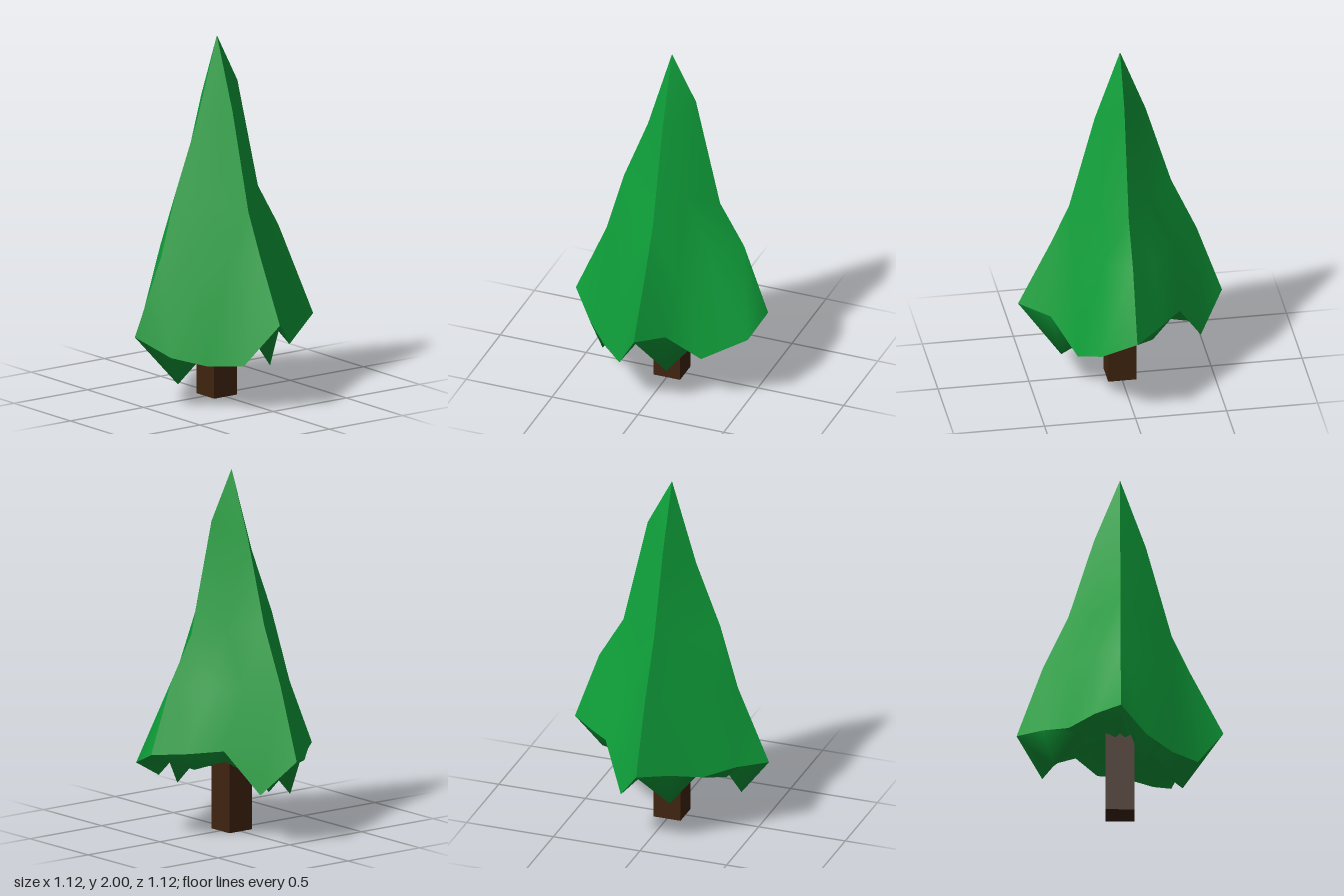
import * as THREE from 'three';

const STEP = 0.14;
const AXES = [[1, 0], [0, 1], [-1, 0], [0, -1]]; // +x, +z, -x, -z

// Ridge points below the tip as [radius, height], one list per axis
const RIDGES = [
  [[0.14, 1.73], [0.28, 1.12], [0.42, 0.88]],
  [[0.14, 1.6], [0.28, 1.07], [0.38, 0.85]],
  [[0.14, 1.53], [0.28, 1.17], [0.38, 0.82]],
  [[0.14, 1.64], [0.28, 1.18], [0.42, 0.87]],
];

// Heights inside each face: one point in row 2, two in row 3
const INNER = [
  [1.2, 0.86, 0.74],
  [1.12, 0.78, 0.8],
  [1.14, 0.84, 0.82],
  [1.14, 0.84, 0.83],
];

// Ragged lower rim, four points per face
const RIM = [
  [0.56, 0.49, 0], [0.515, 0.41, 0.185], [0.28, 0.29, 0.28], [0.12, 0.46, 0.4],
  [0, 0.49, 0.56], [-0.14, 0.255, 0.42], [-0.28, 0.25, 0.28], [-0.42, 0.29, 0.14],
  [-0.56, 0.4, 0], [-0.42, 0.41, -0.14], [-0.28, 0.39, -0.28], [-0.14, 0.44, -0.42],
  [0, 0.47, -0.56], [0.14, 0.28, -0.42], [0.28, 0.52, -0.28], [0.42, 0.5, -0.14],
];

// Heights of the hanging tips just inside the rim
const TIPS = [0.46, 0.42, 0.36, 0.21, 0.46, 0.36, 0.33, 0.13,
  0.42, 0.33, 0.38, 0.24, 0.44, 0.36, 0.45, 0.4];

function meshFrom(points, index, material, name) {
  const g = new THREE.BufferGeometry();
  g.setAttribute('position', new THREE.Float32BufferAttribute(points.flat(), 3));
  g.setIndex(index);
  g.computeVertexNormals();
  const mesh = new THREE.Mesh(g, material);
  mesh.name = name;
  return mesh;
}

// One triangular face, a grid of five rows from the tip to the rim
function foliageFace(q, material) {
  const a = AXES[q], b = AXES[(q + 1) % 4];
  const points = [], index = [];
  const id = (r, j) => r * (r + 1) / 2 + j;
  for (let r = 0; r <= 4; r++) {
    for (let j = 0; j <= r; j++) {
      if (r === 0) points.push([0, 2, 0]);
      else if (r === 4) points.push(RIM[(q * 4 + j) % 16]);
      else if (j === 0 || j === r) {
        const [d, y] = RIDGES[(q + (j ? 1 : 0)) % 4][r - 1];
        const dir = j ? b : a;
        points.push([dir[0] * d, y, dir[1] * d]);
      } else {
        const u = (r - j) * STEP, v = j * STEP;
        points.push([a[0] * u + b[0] * v, INNER[q][r === 2 ? 0 : j], a[1] * u + b[1] * v]);
      }
      if (r < 4) index.push(id(r, j), id(r + 1, j + 1), id(r + 1, j));
      if (r < 4 && j < r) index.push(id(r, j), id(r, j + 1), id(r + 1, j + 1));
    }
  }
  return meshFrom(points, index, material, 'foliageFace');
}

// Underside: rim, hanging tips, an inner ring and the middle
function underside(material) {
  const points = [...RIM], index = [];
  RIM.forEach(([x, , z], i) => points.push([x * 0.85, TIPS[i], z * 0.85]));
  RIM.forEach(([x, , z], i) => points.push([x * 0.45, i % 2 ? 0.4 : 0.46, z * 0.45]));
  points.push([0, 0.45, 0]);
  for (let i = 0; i < 16; i++) {
    const n = (i + 1) % 16;
    for (const o of [0, 16]) {
      index.push(o + i, o + n, o + 16 + i, o + n, o + 16 + n, o + 16 + i);
    }
    index.push(48, 32 + i, 32 + n);
  }
  const mesh = meshFrom(points, index, material, 'foliageUnderside');
  return mesh;
}

export function createModel() {
  const green = new THREE.MeshStandardMaterial({ color: 0x0f9f3a, side: THREE.DoubleSide });
  green.name = 'leafGreen';
  const brown = new THREE.MeshStandardMaterial({ color: 0x402410 });
  brown.name = 'barkBrown';

  const tree = new THREE.Group();
  tree.name = 'tree';

  const foliage = new THREE.Group();
  foliage.name = 'foliage';
  for (let q = 0; q < 4; q++) foliage.add(foliageFace(q, green));
  foliage.add(underside(green));

  const trunk = new THREE.Mesh(new THREE.BoxGeometry(0.156, 0.55, 0.156), brown);
  trunk.name = 'trunk';
  trunk.position.y = 0.275;

  tree.add(foliage, trunk);
  return tree;
}
